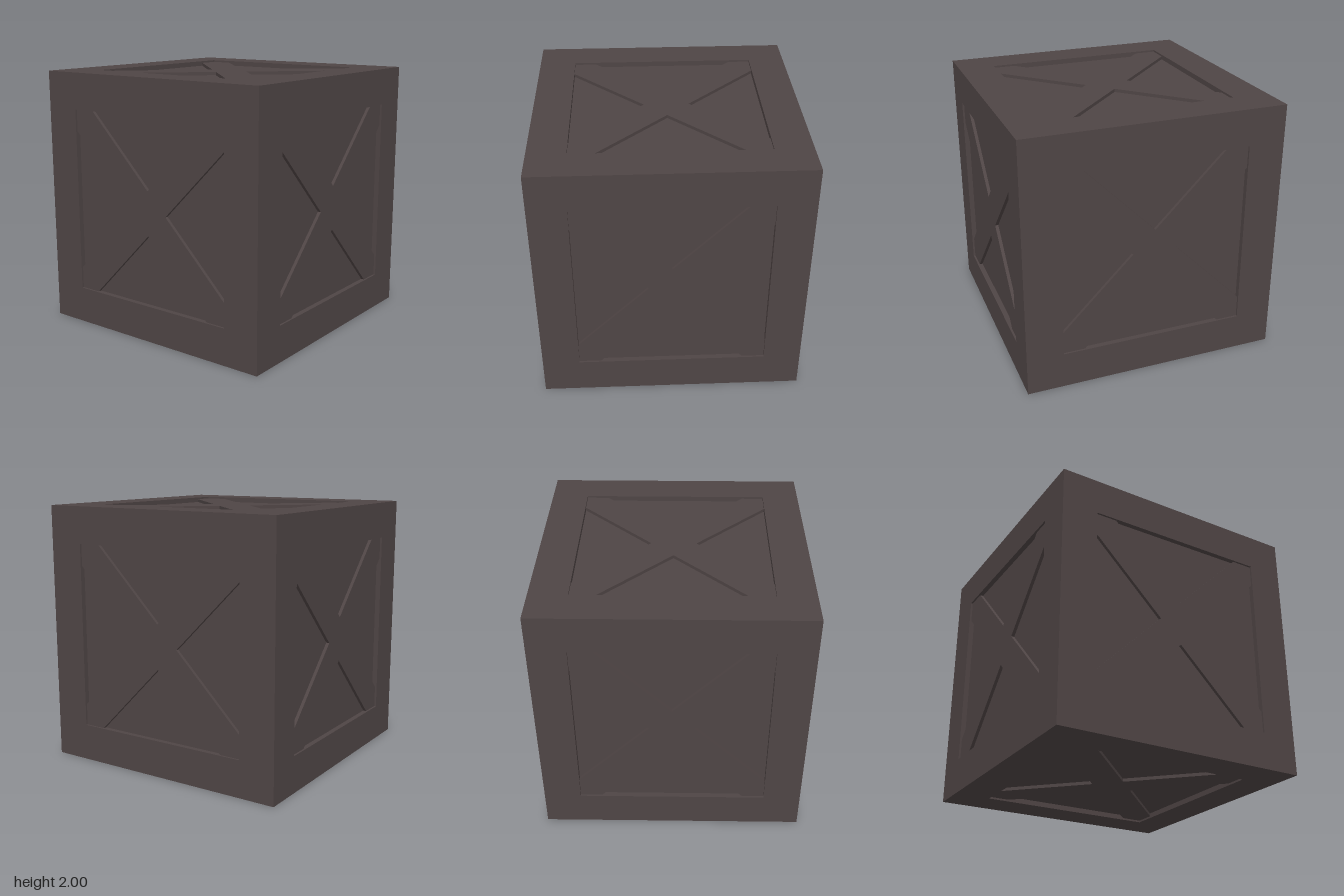
import * as THREE from 'three';

const HALF = 1;        // half the crate's side
const WIN = 0.717;     // half the recessed window
const NOTCH = 0.17;    // where the brace boards meet, from the centre
const PANEL = 0.04;    // depth of the panel below the frame
const BRACE = 0.015;   // depth of the brace below the frame

const square = (r, Type = THREE.Shape) => new Type(
  [[-r, -r], [r, -r], [r, r], [-r, r]].map(([x, y]) => new THREE.Vector2(x, y)));

// X-shaped brace outline, cut off at the window corners
function braceShape() {
  const end = WIN - NOTCH;
  const points = [];
  for (let i = 0; i < 4; i++) {
    for (const [x, y] of [[NOTCH, 0], [WIN, end], [WIN, WIN], [end, WIN]]) {
      points.push(new THREE.Vector2(x, y).rotateAround(new THREE.Vector2(), i * Math.PI / 2));
    }
  }
  return new THREE.Shape(points);
}

export function createModel() {
  const wood = new THREE.MeshStandardMaterial({ color: 0x4f4545 });
  wood.name = 'darkWood';

  const crate = new THREE.Group();
  crate.name = 'crate';

  // Shared geometry for one side, facing +z
  const frameShape = square(HALF);
  frameShape.holes.push(square(WIN, THREE.Path));
  const frameGeo = new THREE.ShapeGeometry(frameShape).translate(0, 0, HALF);
  const panelGeo = new THREE.PlaneGeometry(2 * WIN, 2 * WIN).translate(0, 0, HALF - PANEL);
  const rimGeo = new THREE.PlaneGeometry(2 * WIN, PANEL)
    .rotateX(-Math.PI / 2).translate(0, -WIN, HALF - PANEL / 2);
  const braceGeo = new THREE.ExtrudeGeometry(braceShape(), {
    depth: PANEL - BRACE, bevelEnabled: false,
  }).translate(0, 0, HALF - PANEL);

  function makeSide(name) {
    const side = new THREE.Group();
    side.name = name;
    const add = (geometry, part) => {
      const mesh = new THREE.Mesh(geometry, wood);
      mesh.name = part;
      side.add(mesh);
      return mesh;
    };
    add(frameGeo, 'frame');
    add(panelGeo, 'panel');
    add(braceGeo, 'crossBrace');
    // Inner walls of the frame
    for (let i = 0; i < 4; i++) add(rimGeo, 'frameRim').rotation.z = i * Math.PI / 2;
    return side;
  }

  // Six identical sides turned about the centre
  const q = Math.PI / 2;
  const sides = [
    ['frontSide', 0, 0], ['leftSide', 0, q], ['backSide', 0, 2 * q],
    ['rightSide', 0, -q], ['topSide', -q, 0], ['bottomSide', q, 0],
  ];
  for (const [name, rx, ry] of sides) {
    const side = makeSide(name);
    side.rotation.set(rx, ry, 0);
    side.position.y = HALF;
    crate.add(side);
  }
  return crate;
}
